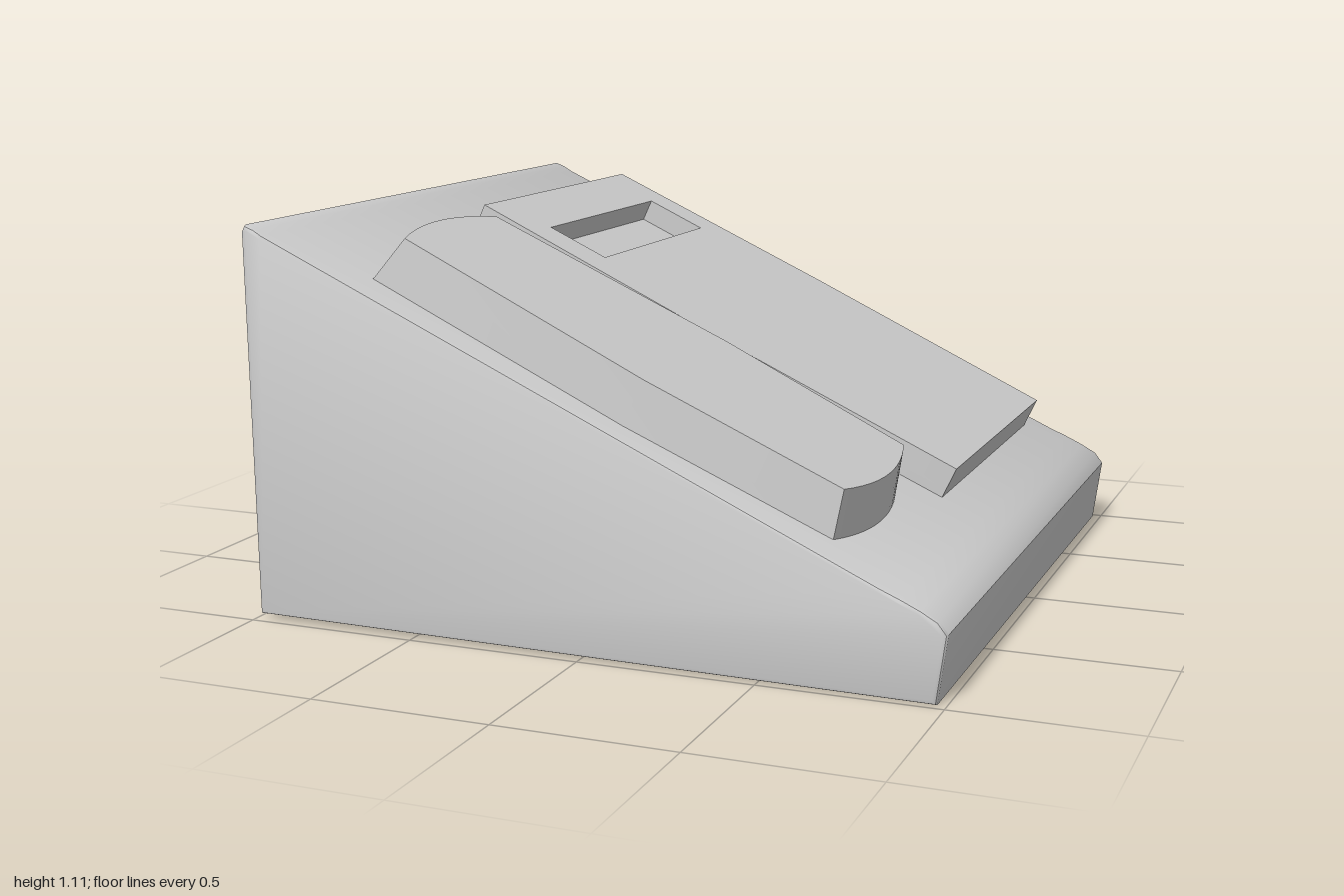
import * as THREE from 'three';
import { toCreasedNormals } from 'three/addons/utils/BufferGeometryUtils.js';

const grey = new THREE.MeshStandardMaterial({ color: 0xcccccc });
const SLOPE = THREE.MathUtils.degToRad(25);

function addMesh(parent, name, geometry, crease = 0.6) {
  const mesh = new THREE.Mesh(toCreasedNormals(geometry, crease), grey);
  mesh.name = name;
  parent.add(mesh);
  return mesh;
}

const shapeOf = (points) => new THREE.Shape(points.map(([x, y]) => new THREE.Vector2(x, y)));

// Extrudes a plan outline (x, -z) upwards along y
function slab(shape, bottom, top) {
  return new THREE.ExtrudeGeometry(shape, { depth: top - bottom, bevelEnabled: false, curveSegments: 12 })
    .rotateX(-Math.PI / 2).translate(0, bottom, 0);
}

// Wedge body: side profile extruded across the depth, with softened rims
function wedge() {
  const profile = shapeOf([
    [-0.985, 0.02], [0.975, 0.005], [1.0, 0.19], [0.975, 0.222], [0.93, 0.247], [0.88, 0.27],
    [0.82, 0.295], [-0.93, 1.092], [-0.955, 1.107], [-0.985, 1.118], [-0.995, 1.1],
  ]);
  const depth = 1.98, bevel = 0.012;
  return new THREE.ExtrudeGeometry(profile, {
    depth: depth - 2 * bevel, bevelThickness: bevel, bevelSize: bevel, bevelOffset: -bevel, bevelSegments: 2,
  }).translate(0, 0, -depth / 2 + bevel - 0.005);
}

// Panel outline, bowed slightly along both long edges
function panelOutline() {
  return shapeOf([
    [-0.8, -0.16], [0, -0.175], [0.834, -0.16],
    [0.834, 0.87], [0, 0.885], [-0.8, 0.87],
  ]);
}

// Handset: bowed outline that tapers towards its top
function handset() {
  const s = new THREE.Shape();
  s.moveTo(-0.735, -0.285);
  s.lineTo(0.1, -0.32);
  s.lineTo(0.735, -0.285);
  s.quadraticCurveTo(0.825, 0, 0.735, 0.285);
  s.lineTo(0.1, 0.32);
  s.lineTo(-0.735, 0.285);
  s.quadraticCurveTo(-0.825, 0, -0.735, -0.285);
  const height = 0.138;
  const g = slab(s, -0.03, height);
  const p = g.attributes.position;
  for (let i = 0; i < p.count; i++) {
    const t = Math.max(0, p.getY(i) / height);
    p.setX(i, p.getX(i) * (1 - 0.06 * t));
    p.setZ(i, p.getZ(i) * (1 - 0.05 * t));
  }
  return g;
}

export function createModel() {
  const model = new THREE.Group();
  model.name = 'deskConsole';
  addMesh(model, 'wedgeBody', wedge(), 0.75);

  // Everything on the sloping face
  const face = new THREE.Group();
  face.name = 'slopingFace';
  face.position.y = 0.667;
  face.rotation.z = -SLOPE;
  model.add(face);

  // Raised panel with a display recess
  const panel = new THREE.Group();
  panel.name = 'raisedPanel';
  face.add(panel);
  const recessFloor = 0.034;
  addMesh(panel, 'panelBase', slab(panelOutline(), -0.02, recessFloor), 0.3);
  const top = panelOutline();
  top.holes.push(shapeOf([[-0.622, -0.035], [-0.622, 0.75], [-0.424, 0.75], [-0.424, -0.035]]));
  addMesh(panel, 'panelTop', slab(top, recessFloor, 0.104), 0.3);

  addMesh(face, 'handset', handset(), 0.4).position.z = 0.573;
  return model;
}
